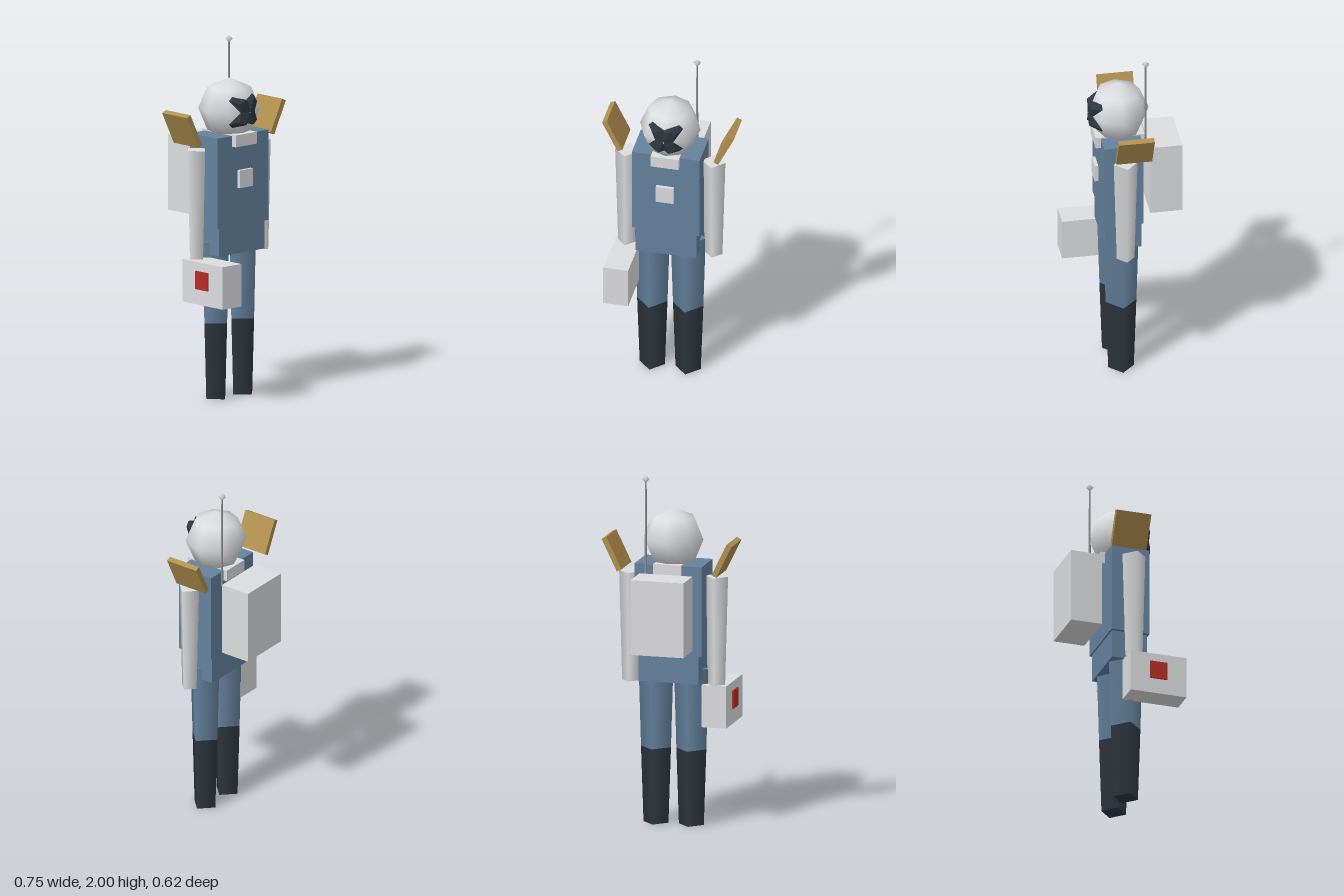
import * as THREE from 'three';

const mat = (name, color) => {
  const m = new THREE.MeshStandardMaterial({ color });
  m.name = name;
  return m;
};

export function createModel() {
  const group = new THREE.Group();
  const blue = mat('suitBlue', 0x64829e);
  const light = mat('lightGrey', 0xdcdddf);
  const dark = mat('darkSlate', 0x2d373f);
  const gold = mat('panelGold', 0xb2904f);
  const red = mat('labelRed', 0xb52c25);
  const grey = mat('antennaGrey', 0x909294);

  const add = (name, geo, material, x = 0, y = 0, z = 0) => {
    const mesh = new THREE.Mesh(geo, material);
    mesh.name = name;
    mesh.position.set(x, y, z);
    group.add(mesh);
    return mesh;
  };
  // Box given by its minimum and maximum corners
  const box = (name, material, [x0, y0, z0], [x1, y1, z1]) =>
    add(name, new THREE.BoxGeometry(x1 - x0, y1 - y0, z1 - z0), material,
      (x0 + x1) / 2, (y0 + y1) / 2, (z0 + z1) / 2);
  // Four-sided tapered limb with smooth sides
  const limb = (name, material, rTop, rBottom, y0, y1, x, z) =>
    add(name, new THREE.CylinderGeometry(rTop, rBottom, y1 - y0, 4), material, x, (y0 + y1) / 2, z);

  // Body
  box('torso', blue, [-0.193, 0.98, -0.086], [0.193, 1.49, 0.136]);
  box('hips', blue, [-0.173, 0.82, -0.077], [0.173, 0.98, 0.127]);
  box('collar', light, [-0.08, 1.43, -0.11], [0.08, 1.497, 0.165]);
  box('chestPanel', light, [-0.05, 1.195, 0.145], [0.05, 1.295, 0.165]);
  box('backpack', light, [-0.152, 1.02, -0.31], [0.152, 1.445, -0.13]);

  // Limbs and shoulder panels, mirrored
  for (const [side, s] of [['left', 1], ['right', -1]]) {
    limb(side + 'Arm', light, 0.067, 0.05, 0.8, 1.42, s * 0.247, 0.025);
    limb(side + 'Leg', blue, 0.1, 0.0865, 0.43, 0.89, s * 0.102, 0.026);
    limb(side + 'Boot', dark, 0.0865, 0.072, 0, 0.43, s * 0.102, 0.026);
    const panel = add(side + 'ShoulderPanel', new THREE.BoxGeometry(0.03, 0.2, 0.202), gold,
      s * 0.317, 1.54, -0.017);
    panel.rotation.z = -s * 0.455;
  }

  // Helmet
  add('helmet', new THREE.SphereGeometry(0.172, 8, 4), light, 0, 1.622, 0.025);

  // Visor: an inner and an outer ring around the centre, each mirrored from one quarter
  const ring = (q) => {
    const half = [...q, ...q.slice(0, 3).reverse().map(([x, y, z]) => [-x, y, z])];
    return [...half, ...half.slice(1, -1).reverse().map(([x, y, z]) => [x, -y, z])];
  };
  const inner = ring([[0.05, 0, 0.179], [0.065, 0.052, 0.182], [0.03, 0.07, 0.194], [0, 0.062, 0.177]]);
  const outer = ring([[0.053, 0, 0.173], [0.102, 0.068, 0.123], [0.08, 0.09, 0.122], [0, 0.07, 0.166]]);
  const points = [[0, 0, 0.196], ...inner, ...outer];
  const n = inner.length;
  const index = [];
  for (let i = 0; i < n; i++) {
    const j = (i + 1) % n;
    index.push(0, 1 + i, 1 + j);
    index.push(1 + i, 1 + n + i, 1 + n + j, 1 + i, 1 + n + j, 1 + j);
  }
  let visor = new THREE.BufferGeometry();
  visor.setAttribute('position', new THREE.Float32BufferAttribute(points.flat(), 3));
  visor.setIndex(index);
  visor = visor.toNonIndexed();
  visor.computeVertexNormals();
  add('visor', visor, dark, 0, 1.622, 0);

  // Antenna
  add('antennaRod', new THREE.CylinderGeometry(0.005, 0.007, 0.56, 6), grey, 0.122, 1.7, -0.108);
  add('antennaTip', new THREE.SphereGeometry(0.022, 5, 2), light, 0.122, 1.978, -0.108);

  // Carried case with a coloured label on its outer side
  box('case', light, [-0.315, 0.565, -0.017], [-0.173, 0.805, 0.31]);
  box('caseLabel', red, [-0.324, 0.653, 0.096], [-0.315, 0.755, 0.196]);

  return group;
}
